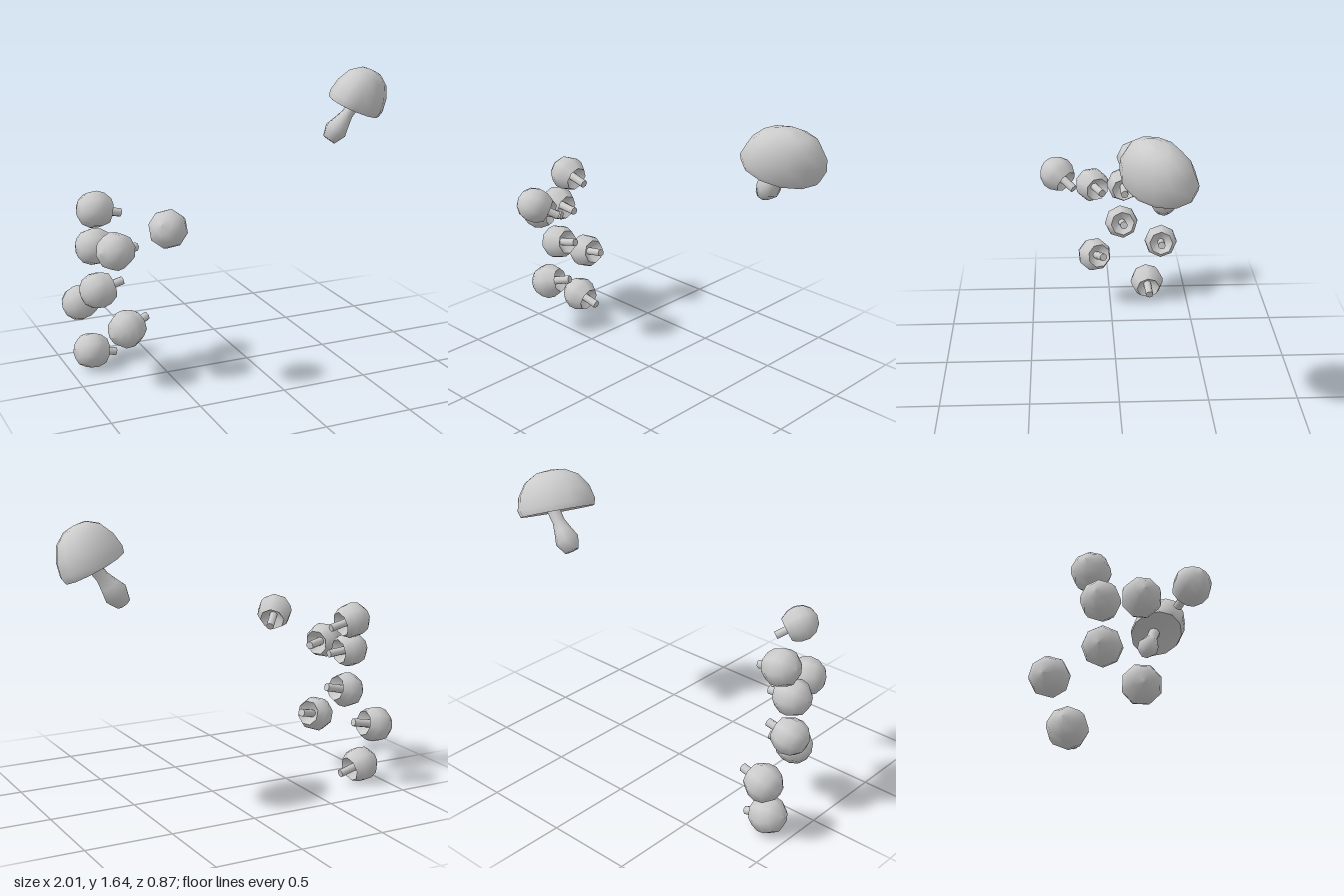
import * as THREE from 'three';

const material = new THREE.MeshStandardMaterial({ color: 0xcccccc });

// Lathe a list of [radius, height] pairs, ordered from bottom to top
function lathe(name, profile, sides) {
  const points = profile.map(([r, y]) => new THREE.Vector2(r, y));
  const mesh = new THREE.Mesh(new THREE.LatheGeometry(points, sides), material);
  mesh.name = name;
  return mesh;
}

// Small round mushroom: local +y is the crown, the stalk points to -y
function smallMushroom(position, stalkDirection) {
  const group = new THREE.Group();
  group.name = 'smallMushroom';
  group.add(
    lathe('smallCap', [[0.074, -0.086], [0.1, -0.04], [0.106, 0.005], [0.09, 0.053], [0.052, 0.087], [0, 0.1]], 8),
    lathe('smallCapHollow', [[0, -0.035], [0.035, -0.04], [0.074, -0.086]], 8)
  );
  const stalk = new THREE.Mesh(new THREE.CylinderGeometry(0.024, 0.024, 0.125, 8), material);
  stalk.name = 'smallStalk';
  stalk.position.y = -0.0925;
  group.add(stalk);
  group.position.set(...position);
  const crown = new THREE.Vector3(...stalkDirection).normalize().negate();
  group.quaternion.setFromUnitVectors(new THREE.Vector3(0, 1, 0), crown);
  return group;
}

// Large mushroom: oval tilted cap and a stalk with a bulbous foot
function largeMushroom() {
  const group = new THREE.Group();
  group.name = 'largeMushroom';

  const cap = new THREE.Group();
  cap.name = 'largeCap';
  cap.add(
    lathe('largeCapDome', [[0.95, -0.03], [1, 0.13], [0.92, 0.46], [0.7, 0.78], [0.37, 0.96], [0, 1]], 12),
    lathe('largeCapUnderside', [[0, 0.1], [0.5, 0.08], [0.95, -0.03]], 12)
  );
  const long = new THREE.Vector3(0.737, -0.195, -0.65).normalize();
  const up = new THREE.Vector3(0.386, 0.91, 0.164);
  up.addScaledVector(long, -up.dot(long)).normalize();
  const across = new THREE.Vector3().crossVectors(long, up);
  cap.quaternion.setFromRotationMatrix(new THREE.Matrix4().makeBasis(long, up, across));
  cap.scale.set(0.23, 0.235, 0.162);
  cap.position.set(0.785, 1.415, -0.183);
  group.add(cap);

  const stalk = lathe('largeStalk',
    [[0, 0], [0.042, 0.002], [0.07, 0.07], [0.052, 0.13], [0.036, 0.19], [0.038, 0.27]], 8);
  stalk.position.set(0.635, 1.212, -0.218);
  stalk.quaternion.setFromUnitVectors(
    new THREE.Vector3(0, 1, 0), new THREE.Vector3(0.61, 0.79, 0.06).normalize());
  group.add(stalk);
  return group;
}

export function createModel() {
  const model = new THREE.Group();
  model.name = 'mushrooms';
  // Cap centre and stalk direction of each small mushroom
  const small = [
    [[-0.605, 0.966, 0.334], [0.085, -0.065, -0.095]],
    [[-0.853, 0.974, -0.15], [0.145, -0.034, 0]],
    [[-0.828, 0.806, 0.114], [0.139, -0.01, -0.06]],
    [[-0.885, 0.783, -0.087], [0.16, -0.014, -0.003]],
    [[-0.874, 0.529, -0.075], [0.149, 0.035, -0.01]],
    [[-0.906, 0.376, -0.335], [0.149, 0.03, 0.005]],
    [[-0.773, 0.347, 0.104], [0.145, 0.04, -0.058]],
    [[-0.874, 0.11, -0.243], [0.154, -0.036, -0.01]]
  ];
  for (const [position, direction] of small) model.add(smallMushroom(position, direction));
  model.add(largeMushroom());
  return model;
}
